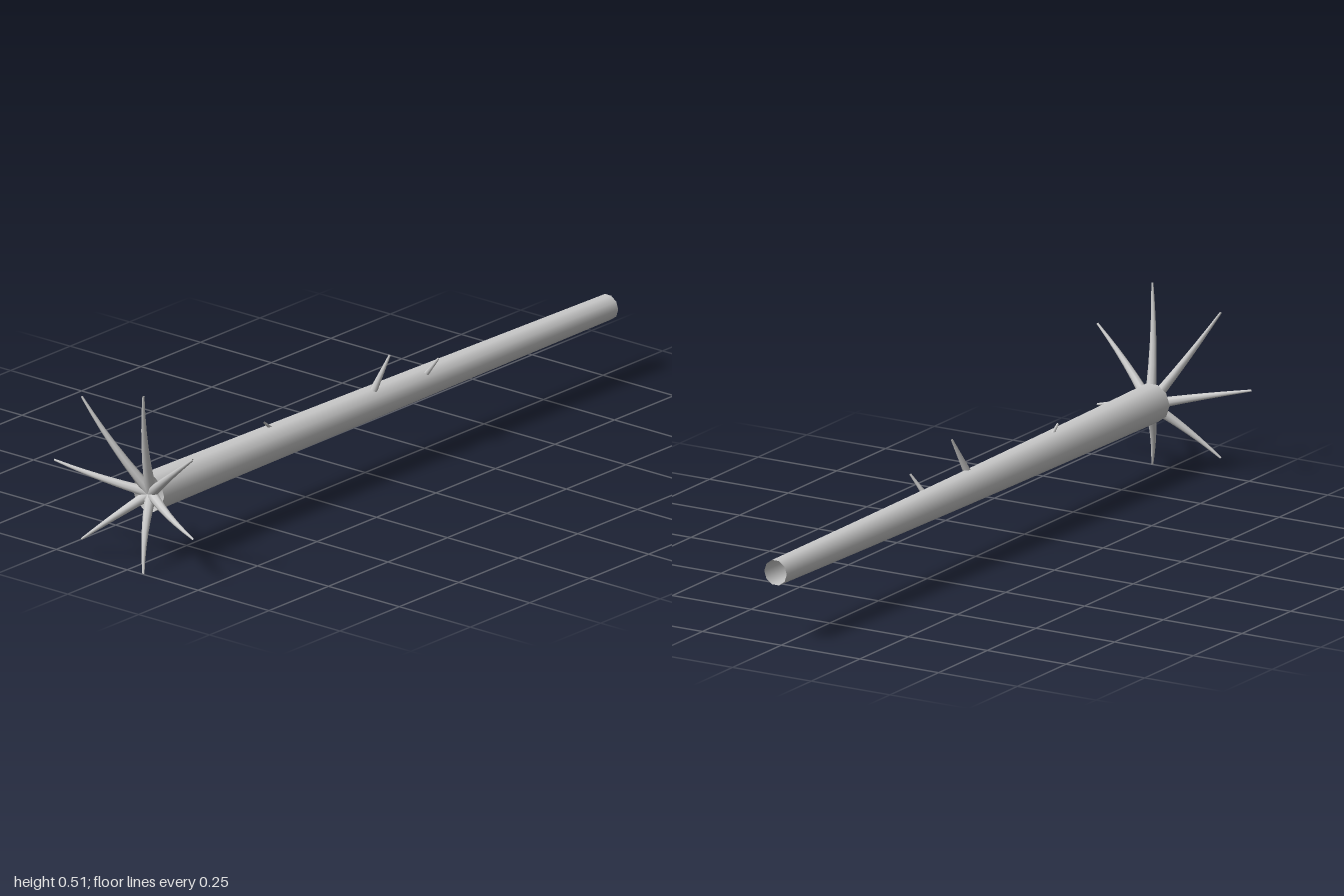
import * as THREE from 'three';

const V = (x, y, z) => new THREE.Vector3(x, y, z);

// Open tube along a curve whose radius narrows from r0 to r1
function taperedTube(points, r0, r1, segments, sides) {
  const curve = points.length === 3
    ? new THREE.QuadraticBezierCurve3(...points)
    : new THREE.LineCurve3(...points);
  const geo = new THREE.TubeGeometry(curve, segments, 1, sides, false);
  const pos = geo.attributes.position;
  const p = new THREE.Vector3();
  for (let i = 0; i <= segments; i++) {
    const t = i / segments;
    const centre = curve.getPointAt(t);
    const r = THREE.MathUtils.lerp(r0, r1, t);
    for (let j = 0; j <= sides; j++) {
      const k = i * (sides + 1) + j;
      p.fromBufferAttribute(pos, k).sub(centre).multiplyScalar(r).add(centre);
      pos.setXYZ(k, p.x, p.y, p.z);
    }
  }
  return geo;
}

export function createModel() {
  const group = new THREE.Group();
  group.name = 'fallenLog';
  const bark = new THREE.MeshStandardMaterial({ color: 0xcccccc, side: THREE.DoubleSide });
  bark.name = 'grey bark';

  const add = (name, geo) => {
    const mesh = new THREE.Mesh(geo, bark);
    mesh.name = name;
    group.add(mesh);
  };

  // Hollow trunk lying along x, thin end towards +x
  add('trunk', taperedTube(
    [V(-0.92, 0.21, 0.008), V(0.04, 0.207, 0.006), V(1, 0.21, 0.018)], 0.055, 0.036, 8, 10));

  // Seven roots fanning out from the thick end and bending outwards
  const start = V(-0.91, 0.207, 0.01);
  for (let i = 0; i < 7; i++) {
    const a = (i / 7) * Math.PI * 2;
    const tip = V(-1, 0.265 + 0.262 * Math.sin(a), -0.257 * Math.cos(a));
    const bend = start.clone().lerp(tip, 0.45).setX(-0.972);
    add('root' + (i + 1), taperedTube([start, bend, tip], 0.016, 0.003, 6, 8));
  }

  // Broken branch stubs
  const branches = [
    [V(-0.007, 0.21, 0.013), V(0.05, 0.343, 0.045), 0.014],
    [V(0.208, 0.208, 0.012), V(0.23, 0.288, 0.066), 0.010],
    [V(-0.355, 0.21, 0.008), V(-0.43, 0.274, 0.005), 0.010],
  ];
  branches.forEach(([a, b, r], i) =>
    add('branch' + (i + 1), taperedTube([a, b], r, 0.003, 3, 7)));

  return group;
}
